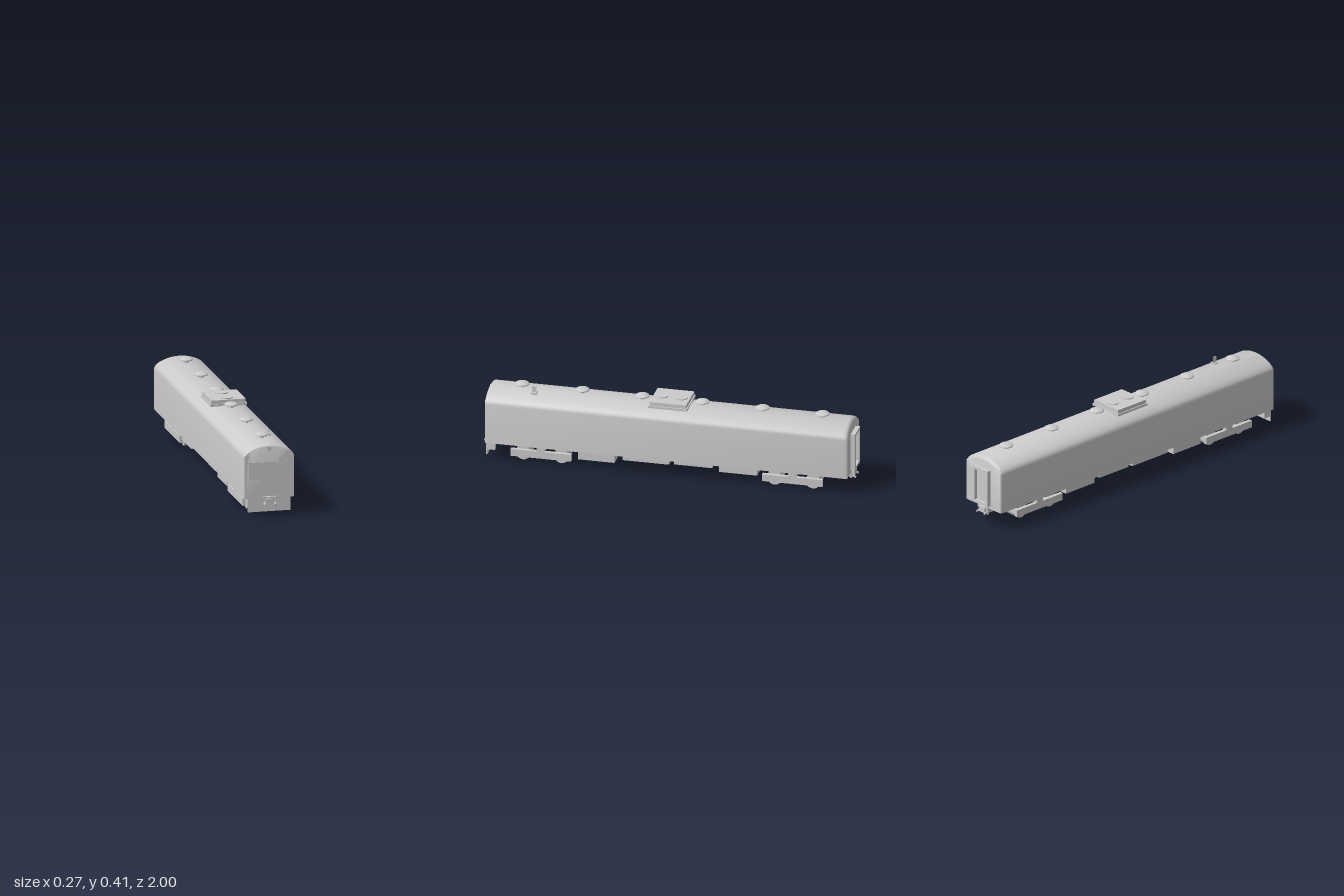
import * as THREE from 'three';
import { toCreasedNormals } from 'three/addons/utils/BufferGeometryUtils.js';

const grey = new THREE.MeshStandardMaterial({ color: 0xcccccc });

export function createModel() {
  const model = new THREE.Group();

  function add(name, geometry, x = 0, y = 0, z = 0, parent = model) {
    const mesh = new THREE.Mesh(geometry, grey);
    mesh.name = name;
    mesh.position.set(x, y, z);
    parent.add(mesh);
    return mesh;
  }

  // Box given by its lower and upper limits on each axis
  function box(name, [x0, x1], [y0, y1], [z0, z1], parent = model) {
    const g = new THREE.BoxGeometry(x1 - x0, y1 - y0, z1 - z0);
    return add(name, g, (x0 + x1) / 2, (y0 + y1) / 2, (z0 + z1) / 2, parent);
  }

  // Car body: arched cross-section lofted along z, roof edge rounded at both ends
  const arch = new THREE.CubicBezierCurve(
    new THREE.Vector2(0.135, 0.318), new THREE.Vector2(0.135, 0.352),
    new THREE.Vector2(0.065, 0.382), new THREE.Vector2(0, 0.382)).getPoints(12);
  const section = [
    new THREE.Vector2(-0.135, 0.1), new THREE.Vector2(0.135, 0.1), ...arch,
    ...arch.slice(0, -1).reverse().map(p => new THREE.Vector2(-p.x, p.y)),
  ];
  const rings = [ // z, inset of roof, inset of sides
    [-0.976, 0.022, 0.004], [-0.973, 0.012, 0.002], [-0.966, 0.005, 0.001], [-0.955, 0, 0],
    [0.962, 0, 0], [0.968, 0.002, 0.001], [0.97, 0.006, 0.002],
  ];
  const n = section.length;
  const pos = [], idx = [];
  for (const [z, roof, side] of rings) {
    for (const p of section) {
      const t = Math.max(0, (p.y - 0.3) / 0.082);
      pos.push(p.x * (1 - side / 0.135), p.y - roof * t, z);
    }
  }
  for (let r = 0; r < rings.length - 1; r++) {
    for (let i = 0; i < n; i++) {
      const a = r * n + i, b = r * n + (i + 1) % n;
      idx.push(a, b, b + n, a, b + n, a + n);
    }
  }
  const last = (rings.length - 1) * n;
  for (let i = 1; i < n - 1; i++) {
    idx.push(0, i + 1, i);
    idx.push(last, last + i, last + i + 1);
  }
  const shell = new THREE.BufferGeometry();
  shell.setAttribute('position', new THREE.Float32BufferAttribute(pos, 3));
  shell.setIndex(idx);
  add('carBody', toCreasedNormals(shell, 0.6));

  // Front end: windscreen, headlight and lower skirt
  box('windscreen', [-0.113, 0.113], [0.201, 0.294], [0.962, 0.972]);
  const lamp = new THREE.CylinderGeometry(0.012, 0.012, 0.012, 24).rotateX(Math.PI / 2);
  add('headlight', lamp, 0, 0.363, 0.967);
  box('frontSkirt', [-0.115, 0.115], [0.027, 0.1], [0.96, 0.967]);
  for (const s of [-1, 1]) {
    box('skirtBracket', s < 0 ? [-0.115, -0.095] : [0.095, 0.115], [0.055, 0.1], [0.92, 0.96]);
  }

  // Rear gangway: hollow frame around a recessed door
  const frame = new THREE.Shape([
    new THREE.Vector2(-0.056, 0.118), new THREE.Vector2(0.056, 0.118),
    new THREE.Vector2(0.056, 0.322), new THREE.Vector2(-0.056, 0.322)]);
  frame.holes.push(new THREE.Path([
    new THREE.Vector2(-0.041, 0.132), new THREE.Vector2(-0.041, 0.307),
    new THREE.Vector2(0.041, 0.307), new THREE.Vector2(0.041, 0.132)]));
  add('gangwayFrame', new THREE.ExtrudeGeometry(frame, { depth: 0.03, bevelEnabled: false }), 0, 0, -1);
  box('gangwayDoor', [-0.041, 0.041], [0.132, 0.307], [-0.982, -0.965]);

  // Couplers with a pocket, a head and two hanging prongs
  for (const s of [1, -1]) {
    const coupler = new THREE.Group();
    coupler.name = s > 0 ? 'frontCoupler' : 'rearCoupler';
    coupler.rotation.y = s > 0 ? 0 : Math.PI;
    model.add(coupler);
    box('couplerPocket', [-0.034, 0.034], [0.07, 0.101], [0.925, 0.97], coupler);
    box('couplerHead', [-0.024, 0.024], [0.071, 0.102], [0.965, 0.99], coupler);
    const top = s > 0 ? 0.109 : 0.1;
    box('couplerLid', [-0.034, 0.034], [top - 0.007, top], [0.968, 0.985], coupler);
    for (const x of [-0.028, 0.028]) {
      const prong = box('couplerProng', [x - 0.003, x + 0.003], [0.068, 0.077], [0.965, 0.999], coupler);
      prong.rotation.x = 0.3;
      box('couplerSide', [x - 0.006, x + 0.006], [0.062, 0.102], [0.968, 0.976], coupler);
    }
  }

  // Bogies: side beams, bolster and two wide wheel drums each
  const wheel = toCreasedNormals(
    new THREE.CylinderGeometry(0.04, 0.04, 0.154, 32).rotateZ(Math.PI / 2), 0.6);
  for (const zc of [0.675, -0.675]) {
    const bogie = new THREE.Group();
    bogie.name = zc > 0 ? 'frontBogie' : 'rearBogie';
    bogie.position.z = zc;
    model.add(bogie);
    for (const dz of [-0.103, 0.103]) add('wheelset', wheel, 0, 0.04, dz, bogie);
    for (const x of [-0.1, 0.1]) {
      box('sideBeam', [x - 0.01, x + 0.01], [0.029, 0.068], [-0.162, 0.162], bogie);
    }
    box('bolster', [-0.11, 0.11], [0.066, 0.101], [-0.022, 0.022], bogie);
  }

  // Underfloor equipment
  box('underframe', [-0.09, 0.09], [0.09, 0.101], [-0.5, 0.51]);
  const cases = [[0.28, 0.475, 0.045], [-0.012, 0.238, 0.066], [-0.245, -0.04, 0.071], [-0.485, -0.28, 0.054]];
  for (const [z0, z1, y0] of cases) {
    box('equipmentCase', [-0.105, 0.105], [y0, 0.101], [z0, z1]);
  }

  // Roof ventilators: stem, rim and shallow dome
  const ventProfile = [
    [0, 0.37], [0.011, 0.37], [0.011, 0.394], [0.034, 0.395], [0.037, 0.397],
    [0.036, 0.402], [0.028, 0.407], [0.015, 0.411], [0, 0.412],
  ].map(([x, y]) => new THREE.Vector2(x, y));
  const vent = toCreasedNormals(new THREE.LatheGeometry(ventProfile, 32), 0.6);
  for (const z of [0.8, 0.477, 0.155, -0.167, -0.49, -0.812]) add('roofVent', vent, 0, 0, z);

  // Air-conditioning unit with two fans
  box('roofUnitBase', [-0.098, 0.098], [0.377, 0.389], [-0.107, 0.102]);
  box('roofUnitCover', [-0.092, 0.092], [0.389, 0.409], [-0.101, 0.096]);
  const fan = new THREE.CylinderGeometry(0.034, 0.034, 0.008, 32);
  for (const z of [-0.055, 0.05]) add('roofFan', fan, 0, 0.41, z);

  // Aerial
  box('aerialBase', [0.039, 0.068], [0.366, 0.383], [0.708, 0.738]);
  box('aerialBlade', [0.052, 0.055], [0.375, 0.415], [0.711, 0.735]);

  return model;
}
